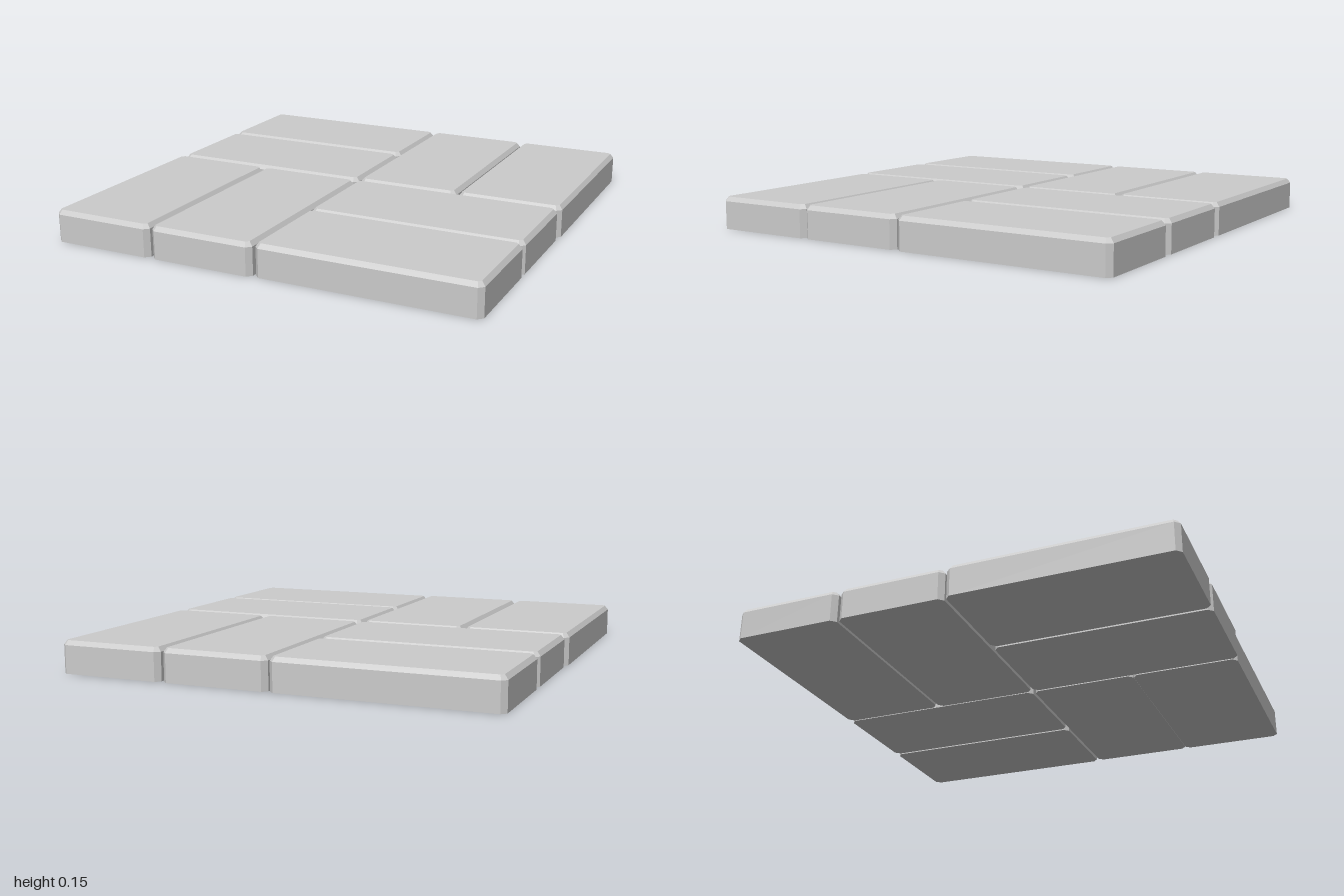
import * as THREE from 'three';

const HEIGHT = 0.147, BEVEL_IN = 0.015, BEVEL_DROP = 0.02, CORNER = 0.022;

// Eight-sided outline with cut corners, counter-clockwise seen from above
function outline(w, d, inset, y) {
  const x = w / 2 - inset, z = d / 2 - inset, c = CORNER - inset * 0.59;
  return [
    [-x + c, z], [x - c, z], [x, z - c], [x, -z + c],
    [x - c, -z], [-x + c, -z], [-x, -z + c], [-x, z - c],
  ].map(([px, pz]) => [px, y, pz]);
}

// Brick: upright sides with cut corners, and a bevelled top edge
function brickGeometry(w, d) {
  const rings = [
    outline(w, d, 0, 0),
    outline(w, d, 0, HEIGHT - BEVEL_DROP),
    outline(w, d, BEVEL_IN, HEIGHT),
  ];
  const n = 8, index = [];
  for (let r = 0; r < rings.length - 1; r++) {
    for (let i = 0; i < n; i++) {
      const a = r * n + i, b = r * n + (i + 1) % n;
      index.push(a, b, b + n, a, b + n, a + n);
    }
  }
  // Bottom and top faces
  const top = (rings.length - 1) * n;
  for (let i = 1; i < n - 1; i++) {
    index.push(0, i + 1, i);
    index.push(top, top + i, top + i + 1);
  }
  const indexed = new THREE.BufferGeometry();
  indexed.setAttribute('position', new THREE.Float32BufferAttribute(rings.flat(2), 3));
  indexed.setIndex(index);
  const geometry = indexed.toNonIndexed();
  geometry.computeVertexNormals();
  return geometry;
}

export function createModel() {
  const group = new THREE.Group();
  group.name = 'basketWeavePaving';
  const material = new THREE.MeshStandardMaterial({ color: 0xcccccc, flatShading: true });

  // Pairs of bricks in a basket-weave: name, x from, x to, z from, z to
  const bricks = [
    ['backRightOuterBrick', -0.99, -0.004, -0.997, -0.508],
    ['backRightInnerBrick', -0.99, -0.004, -0.496, -0.006],
    ['backLeftInnerBrick', 0.003, 0.494, -0.997, -0.012],
    ['backLeftOuterBrick', 0.506, 0.997, -0.997, -0.012],
    ['frontRightOuterBrick', -1, -0.51, 0.006, 0.991],
    ['frontRightInnerBrick', -0.498, -0.006, 0.006, 0.991],
    ['frontLeftInnerBrick', 0.003, 0.99, 0.001, 0.491],
    ['frontLeftOuterBrick', 0.003, 0.99, 0.492, 0.981],
  ];
  for (const [name, x0, x1, z0, z1] of bricks) {
    const brick = new THREE.Mesh(brickGeometry(x1 - x0, z1 - z0), material);
    brick.name = name;
    brick.position.set((x0 + x1) / 2, 0, (z0 + z1) / 2);
    group.add(brick);
  }
  return group;
}
